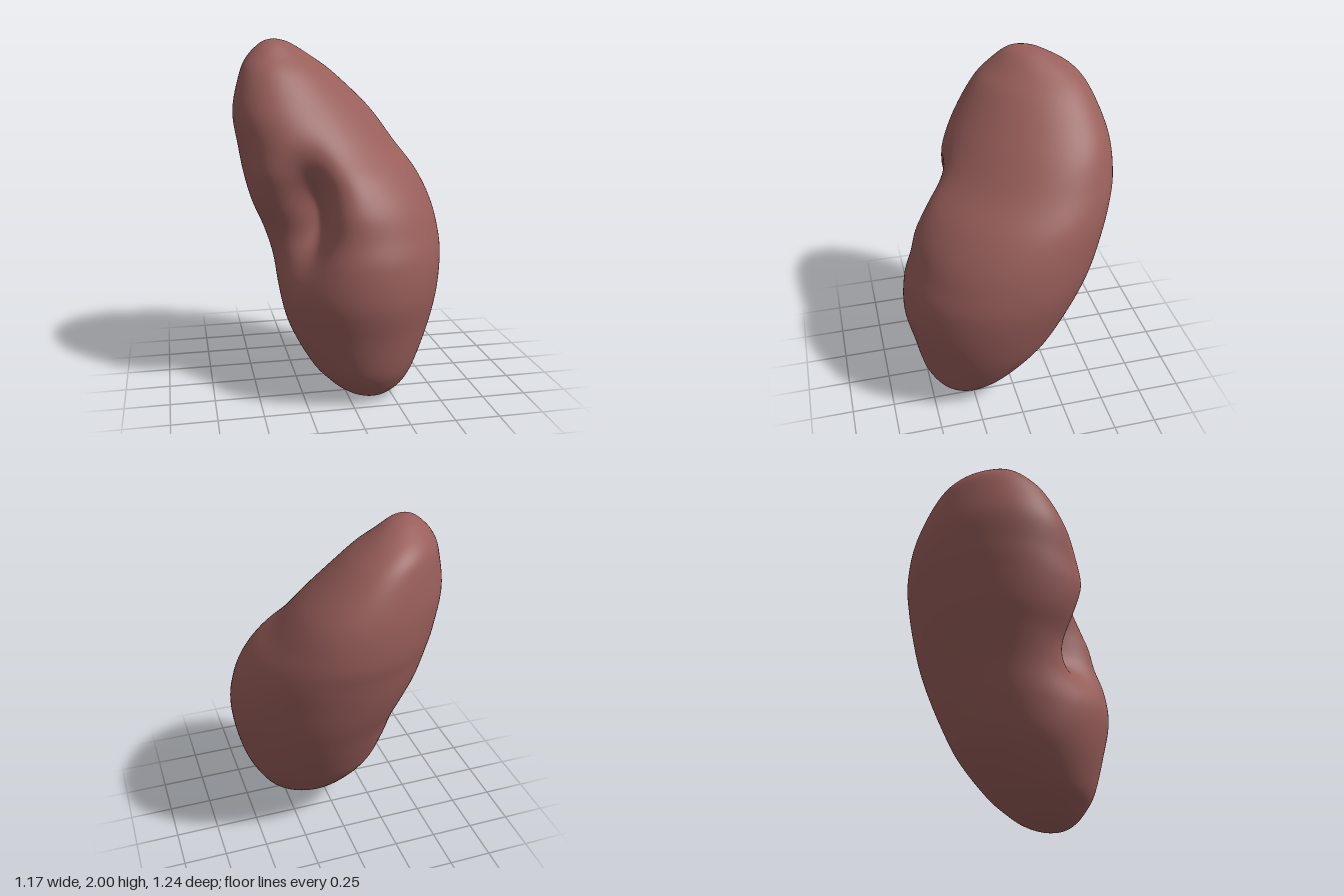
import * as THREE from 'three';

// Horizontal sections: y, xMin, xMax, zMin, zMax
const SECTIONS = [
  [0, 0.13, 0.13, 0.31, 0.31],
  [0.012, 0.05, 0.21, 0.23, 0.385],
  [0.045, -0.03, 0.28, 0.135, 0.44],
  [0.1, -0.105, 0.345, 0.05, 0.485],
  [0.2, -0.2, 0.41, -0.08, 0.535],
  [0.4, -0.31, 0.5, -0.25, 0.58],
  [0.6, -0.365, 0.555, -0.36, 0.62],
  [0.8, -0.395, 0.585, -0.45, 0.605],
  [0.95, -0.435, 0.58, -0.51, 0.56],
  [1.1, -0.495, 0.55, -0.555, 0.52],
  [1.25, -0.535, 0.49, -0.59, 0.445],
  [1.4, -0.56, 0.39, -0.615, 0.335],
  [1.6, -0.585, 0.25, -0.6, 0.22],
  [1.8, -0.54, 0.04, -0.53, 0.09],
  [1.9, -0.49, -0.1, -0.45, -0.01],
  [1.97, -0.42, -0.22, -0.32, -0.09],
  [1.992, -0.375, -0.28, -0.255, -0.145],
  [2, -0.33, -0.33, -0.2, -0.2],
];

function organGeometry(rings, sides) {
  const centres = new THREE.CatmullRomCurve3(SECTIONS.map(([y, x0, x1, z0, z1]) =>
    new THREE.Vector3((x0 + x1) / 2, y, (z0 + z1) / 2)), false, 'catmullrom', 0.5);
  const radii = new THREE.CatmullRomCurve3(SECTIONS.map(([y, x0, x1, z0, z1]) =>
    new THREE.Vector3((x1 - x0) / 2, 0, (z1 - z0) / 2)), false, 'catmullrom', 0.5);
  const positions = [], index = [];

  for (let i = 0; i <= rings; i++) {
    const c = centres.getPoint(i / rings), r = radii.getPoint(i / rings);
    // The upper lobe is flatter from front right to back left
    const skew = 0.02 + 0.32 * THREE.MathUtils.smoothstep(c.y, 0.9, 1.8);
    for (let j = 0; j < sides; j++) {
      const a = (j / sides) * Math.PI * 2;
      // Slanting notch of the hilum: narrow above, fading into a wide groove below
      const h = c.y - 1.1;
      const da = Math.abs(a - (2.25 - 1.2 * h)) / (0.36 - 0.25 * THREE.MathUtils.clamp(h, -0.4, 0.4));
      const fade = h > 0 ? Math.pow(h / 0.23, 2.5) : Math.pow(h / 0.29, 2);
      const notch = Math.exp(-Math.pow(da, 2.2) - fade);
      const k = 1 - 0.5 * notch;
      positions.push(
        c.x + r.x * Math.cos(a) * k,
        c.y - 0.06 * notch,
        c.z + r.z * Math.sin(a - skew) * k);
      if (i < rings) {
        const p = i * sides + j, q = i * sides + (j + 1) % sides;
        index.push(p, p + sides, q, q, p + sides, q + sides);
      }
    }
  }
  const g = new THREE.BufferGeometry();
  g.setAttribute('position', new THREE.Float32BufferAttribute(positions, 3));
  g.setIndex(index);
  g.computeVertexNormals();
  return g;
}

export function createModel() {
  const group = new THREE.Group();
  group.name = 'kidney';
  const flesh = new THREE.MeshStandardMaterial({ color: 0x985e5a });
  flesh.name = 'flesh';
  const body = new THREE.Mesh(organGeometry(136, 128), flesh);
  body.name = 'kidneyBody';
  group.add(body);
  return group;
}
